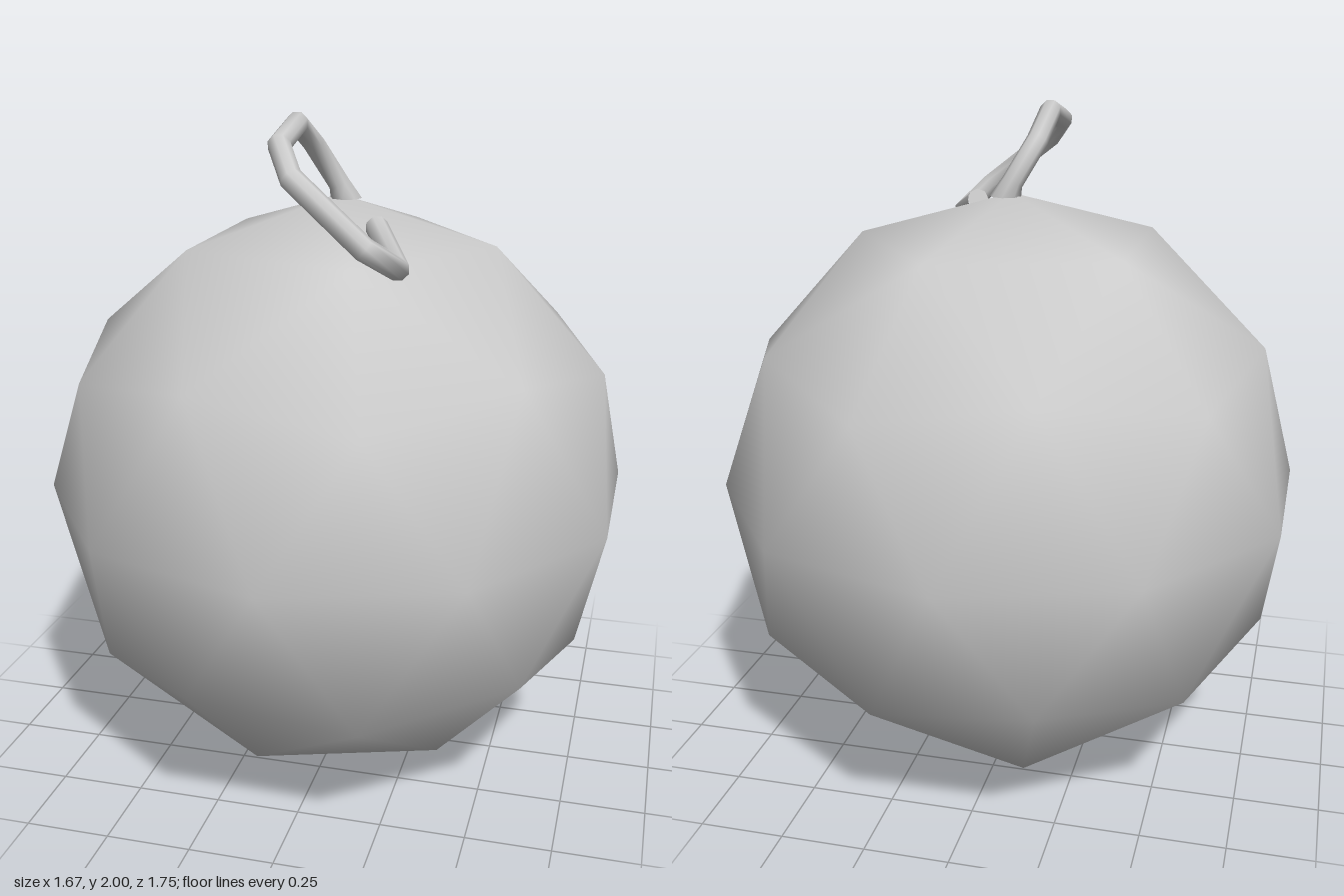
import * as THREE from 'three';

const R = 0.877;

// Icosahedron standing on one vertex, subdivided once
function bodyGeometry() {
  const verts = [0, -1, 0];
  const h = 1 / Math.sqrt(5), r = 2 * h;
  for (const [offset, y] of [[36, -h], [0, h]]) {
    for (let k = 0; k < 5; k++) {
      const a = THREE.MathUtils.degToRad(offset + 72 * k);
      verts.push(r * Math.cos(a), y, r * Math.sin(a));
    }
  }
  verts.push(0, 1, 0);
  const faces = [];
  for (let k = 0; k < 5; k++) {
    const n = (k + 1) % 5;
    const b0 = 1 + k, b1 = 1 + n, t0 = 6 + k, t1 = 6 + n;
    faces.push(0, b0, b1, b0, t0, t1, b0, t1, b1, 11, t1, t0);
  }
  return new THREE.PolyhedronGeometry(verts, faces, R, 1);
}

// Straight-sided path whose rings fall exactly on the given points
class Polyline extends THREE.Curve {
  constructor(points) {
    super();
    this.points = points;
  }
  getPoint(t, target = new THREE.Vector3()) {
    const n = this.points.length - 1;
    const i = Math.min(Math.floor(t * n + 1e-9), n - 1);
    return target.lerpVectors(this.points[i], this.points[i + 1], t * n - i);
  }
  getPointAt(t, target) { return this.getPoint(t, target); }
  getTangentAt(t, target) { return this.getTangent(t, target); }
}

export function createModel() {
  const group = new THREE.Group();
  const material = new THREE.MeshStandardMaterial({ color: 0xcccccc });

  const body = new THREE.Mesh(bodyGeometry(), material);
  body.name = 'body';
  body.position.y = R;
  group.add(body);

  // Curling stem, flared where it meets the body
  const points = [
    [0.02, 1.74, 0], [0, 1.785, 0.005], [-0.065, 1.9, 0.04], [-0.07, 1.97, 0.19],
    [-0.07, 1.93, 0.36], [-0.01, 1.86, 0.46], [0.2, 1.7, 0.53],
    [0.26, 1.63, 0.41], [0.155, 1.7, 0.195],
  ].map((p) => new THREE.Vector3(...p));
  const sides = 8, radius = 0.032;
  const path = new Polyline(points);
  const tube = new THREE.TubeGeometry(path, points.length - 1, radius, sides);
  const pos = tube.attributes.position, v = new THREE.Vector3();
  for (let i = 0; i <= sides; i++) {
    v.fromBufferAttribute(pos, i).sub(points[0]).multiplyScalar(1.6).add(points[0]);
    pos.setXYZ(i, v.x, 1.745, v.z);
  }
  const stem = new THREE.Mesh(tube, material);
  stem.name = 'stem';
  group.add(stem);

  // Flat end of the stem
  const tip = new THREE.Mesh(new THREE.CircleGeometry(radius, sides), material);
  tip.name = 'stemTip';
  tip.position.copy(points.at(-1));
  tip.lookAt(points.at(-1).clone().add(path.getTangent(1)));
  group.add(tip);

  return group;
}
